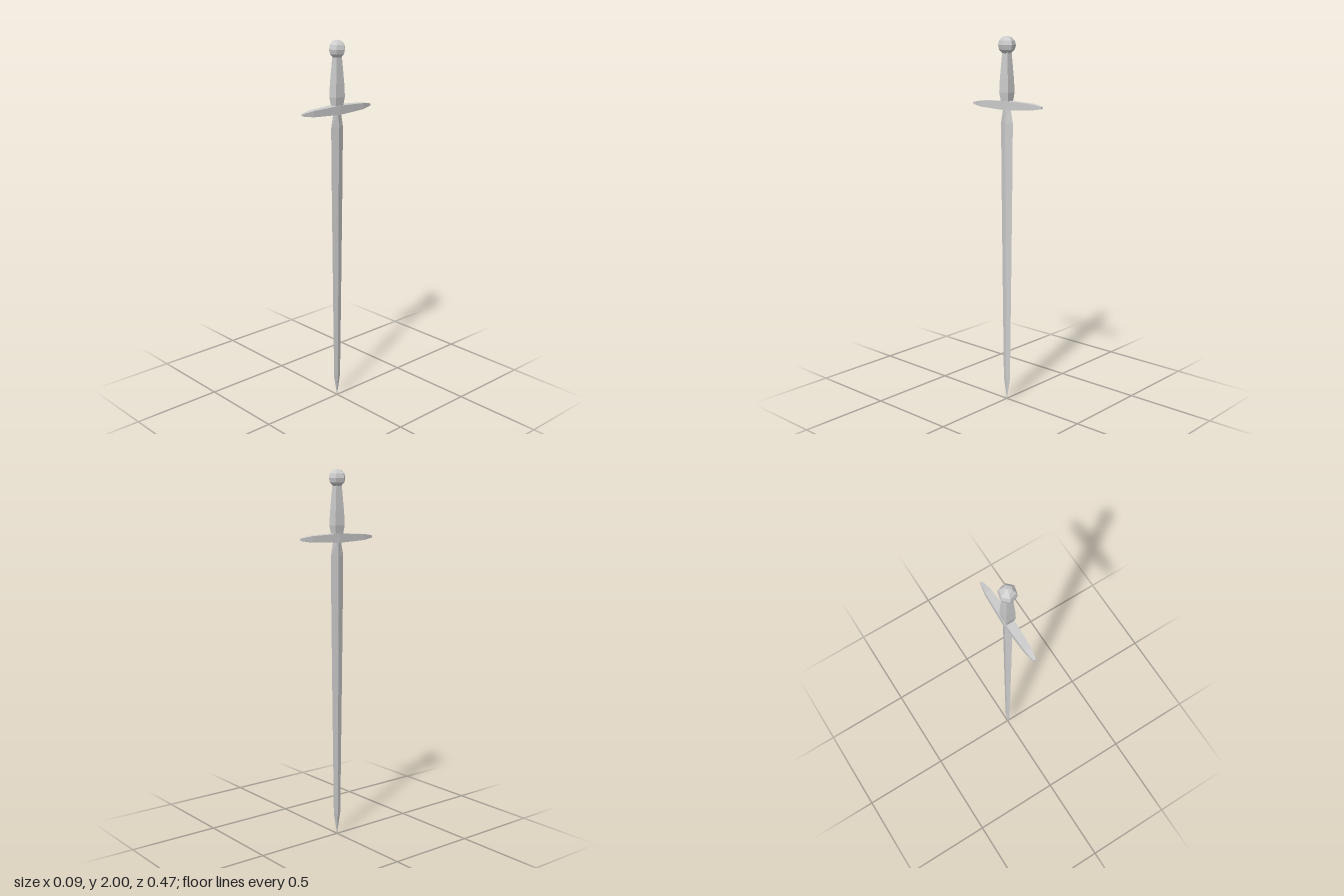
import * as THREE from 'three';

const SQUARE = [[1, 1], [1, -1], [-1, -1], [-1, 1]];
const DIAMOND = [[0, 1], [1, 0], [0, -1], [-1, 0]];

// Closed four-sided loft along y; each section is [y, half width x, half width z]
function loft(outline, sections) {
  const positions = [], index = [];
  for (const [y, hx, hz] of sections)
    for (const [x, z] of outline) positions.push(x * hx, y, z * hz);
  const quad = (a, b, c, d) => index.push(a, b, c, a, c, d);
  const last = (sections.length - 1) * 4;
  for (let s = 0; s < last; s += 4)
    for (let i = 0; i < 4; i++) {
      const j = (i + 1) % 4;
      quad(s + i, s + j, s + 4 + j, s + 4 + i);
    }
  quad(3, 2, 1, 0);
  quad(last, last + 1, last + 2, last + 3);
  const geometry = new THREE.BufferGeometry();
  geometry.setAttribute('position', new THREE.Float32BufferAttribute(positions, 3));
  geometry.setIndex(index);
  const flat = geometry.toNonIndexed();
  flat.computeVertexNormals();
  return flat;
}

export function createModel() {
  const group = new THREE.Group();
  const material = new THREE.MeshStandardMaterial({ color: 0xcccccc, flatShading: true });
  const add = (name, geometry) => {
    const mesh = new THREE.Mesh(geometry, material);
    mesh.name = name;
    group.add(mesh);
    return mesh;
  };

  // Blade: diamond section, tip down, pinched in below the guard
  add('blade', loft(DIAMOND, [
    [0, 0.0005, 0.0005], [0.12, 0.007, 0.023], [0.73, 0.01, 0.032],
    [1.25, 0.013, 0.039], [1.55, 0.014, 0.042], [1.64, 0.011, 0.024],
  ]));

  // Crossguard: square bar tapering to both ends along z
  const guard = loft(SQUARE, [
    [-0.237, 0.006, 0.006], [-0.175, 0.017, 0.016], [0, 0.025, 0.024],
    [0.175, 0.017, 0.016], [0.237, 0.006, 0.006],
  ]);
  guard.rotateX(Math.PI / 2);
  add('crossguard', guard).position.y = 1.643;

  // Grip: four-sided, swelling just above the guard
  add('grip', loft(SQUARE, [
    [1.645, 0.018, 0.022], [1.71, 0.026, 0.031], [1.78, 0.024, 0.028], [1.93, 0.016, 0.017],
  ]));

  // Pommel: faceted six-sided ball
  const pommel = add('pommel', new THREE.SphereGeometry(0.047, 6, 6));
  pommel.position.y = 1.953;
  pommel.rotation.y = Math.PI / 12;

  return group;
}
